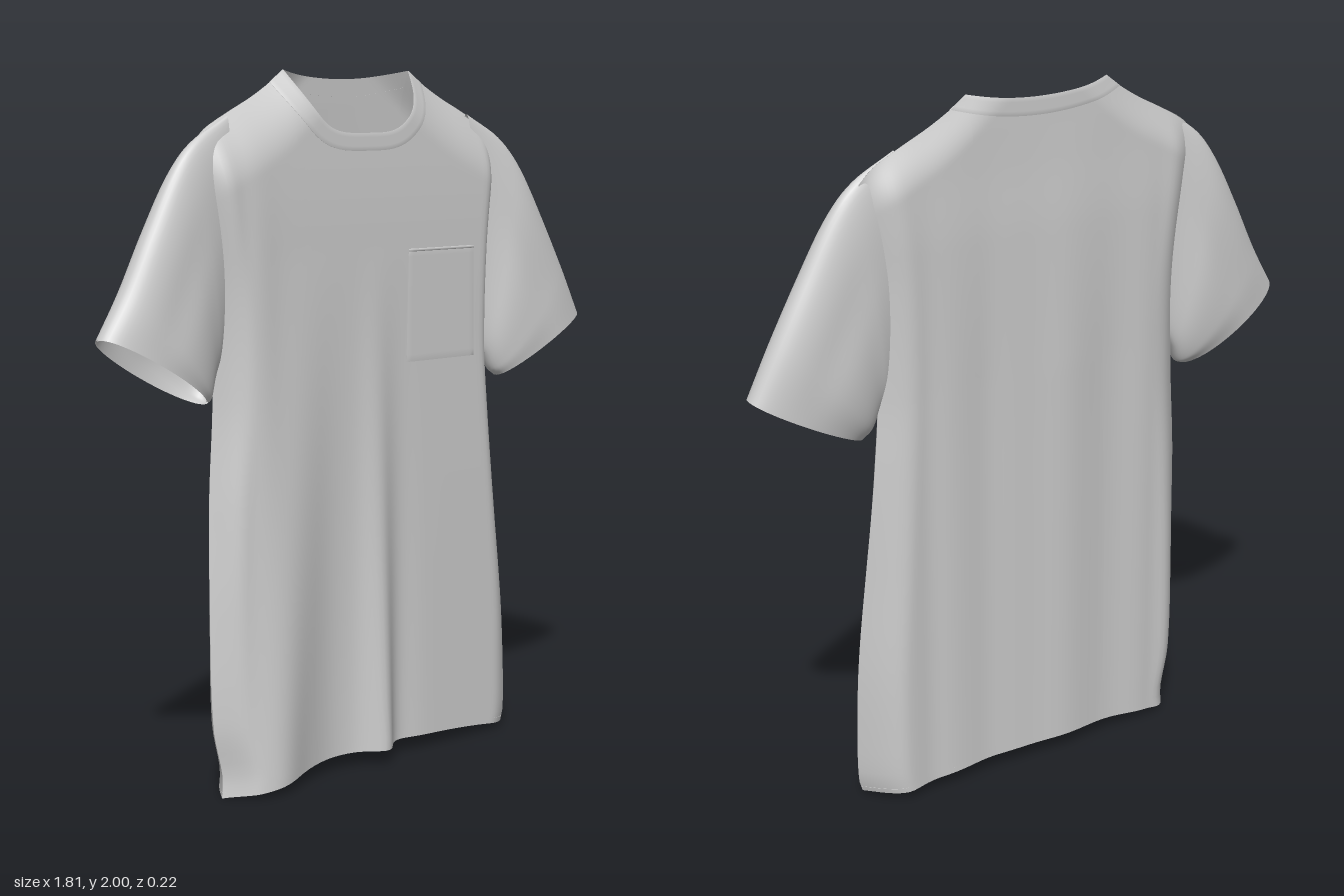
import * as THREE from 'three';
import { mergeGeometries, mergeVertices } from 'three/addons/utils/BufferGeometryUtils.js';

const cloth = new THREE.MeshStandardMaterial({ color: 0xcccccc, side: THREE.DoubleSide, roughness: 0.9 });
const lerp = THREE.MathUtils.lerp;

// Smooth curve through [t, value] pairs
function curve(p) {
  const slope = i => {
    const a = p[Math.max(i - 1, 0)], b = p[Math.min(i + 1, p.length - 1)];
    return (b[1] - a[1]) / (b[0] - a[0]);
  };
  return t => {
    t = Math.min(Math.max(t, p[0][0]), p[p.length - 1][0]);
    let i = 0;
    while (i < p.length - 2 && t > p[i + 1][0]) i++;
    const h = p[i + 1][0] - p[i][0], s = (t - p[i][0]) / h, s2 = s * s, s3 = s2 * s;
    return (2 * s3 - 3 * s2 + 1) * p[i][1] + (s3 - 2 * s2 + s) * h * slope(i)
      + (3 * s2 - 2 * s3) * p[i + 1][1] + (s3 - s2) * h * slope(i + 1);
  };
}

// Grid surface from fn(i, j) -> [x, y, z]
function grid(nu, nv, fn, flip = false) {
  const pos = [], idx = [];
  for (let j = 0; j <= nv; j++) for (let i = 0; i <= nu; i++) pos.push(...fn(i, j));
  for (let j = 0; j < nv; j++) for (let i = 0; i < nu; i++) {
    const a = j * (nu + 1) + i, b = a + 1, c = a + nu + 1, d = c + 1;
    idx.push(...(flip ? [a, d, b, a, c, d] : [a, b, d, a, d, c]));
  }
  const g = new THREE.BufferGeometry();
  g.setAttribute('position', new THREE.Float32BufferAttribute(pos, 3));
  g.setIndex(idx);
  return g;
}

function mesh(name, geometry) {
  const g = mergeVertices(geometry, 1e-5);
  g.computeVertexNormals();
  const m = new THREE.Mesh(g, cloth);
  m.name = name;
  return m;
}

// Torso outline
const NECK = 0.24, SHOULDER = 0.575;
const edgeRight = curve([[0, -0.54], [0.06, -0.535], [0.2, -0.56], [0.5, -0.557], [0.8, -0.54], [1.1, -0.515], [1.4, -0.52], [1.8, -0.575], [2, -0.575]]);
const edgeLeft = curve([[0, 0.57], [0.04, 0.585], [0.15, 0.592], [0.4, 0.59], [0.7, 0.568], [1, 0.543], [1.2, 0.53], [1.5, 0.54], [1.8, 0.575], [2, 0.575]]);
const shoulder = curve([[0.24, 2], [0.29, 1.965], [0.36, 1.925], [0.45, 1.882], [0.53, 1.84], [0.575, 1.8]]);
const neckFront = s => 1.825 + 0.175 * Math.abs(s) ** 4;
const neckBack = s => 1.975 + 0.025 * s * s;

// Depth of the cloth, with the vertical folds
const frontDepth = curve([[0, 0.045], [0.6, 0.042], [1.2, 0.037], [1.6, 0.032], [1.83, 0.022], [2, 0.012]]);
const backDepth = curve([[0, -0.1], [1, -0.102], [1.6, -0.102], [1.8, -0.094], [2, -0.088]]);
const midDepth = curve([[0, 0.015], [0.5, -0.01], [1, -0.04], [1.7, -0.04], [2, -0.06]]);
const bump = (x, c, w) => Math.exp(-(((x - c) / w) ** 2));
const rounded = (d, r) => Math.sin(Math.min(Math.max(d / r, 0), 1) * Math.PI / 2);

function depth(front, x, y) {
  const a = Math.abs(x);
  const top = a < NECK ? 2 + 0.8 * (NECK - a) : shoulder(a);
  const f = rounded(Math.min(x - edgeRight(y), edgeLeft(y) - x), front ? 0.08 : 0.11)
    * rounded(top - y, front ? 0.19 : 0.12);
  const fade = Math.max(0, 1 - y / 1.5) ** 1.2;
  let z;
  if (front) {
    z = frontDepth(y)
      + fade * (0.065 * bump(x, -0.4 + 0.1 * y, 0.12) + 0.055 * bump(x, 0.02, 0.055)
        - 0.012 * bump(x, -0.14, 0.08) - 0.014 * bump(x, 0.12, 0.06))
      + 0.006 * bump(y, 1.2, 0.5) * (bump(x, -0.4, 0.05) - bump(x, -0.46, 0.03));
  } else {
    const hang = Math.min(1, Math.max(0, (1.9 - y) / 0.7));
    z = backDepth(y) + hang * (0.008 * bump(x, 0.2, 0.07) + 0.008 * bump(x, -0.25, 0.08)
      + 0.008 * bump(x, 0.4, 0.05) - 0.011 * bump(x, -0.07, 0.09) + 0.006 * bump(x, -0.42, 0.04));
  }
  return lerp(midDepth(y), z, f);
}

// Front and back panels, welded at the sides and shoulders, closed inside the hem
function torso() {
  const cols = [], N = 24;
  for (let i = 0; i <= N; i++) cols.push(NECK * Math.sin(i / N * Math.PI / 2));
  for (let i = 1; i <= N; i++) cols.push(lerp(NECK, SHOULDER, Math.sin(i / N * Math.PI / 2)));
  const xs = [...cols.slice(1).reverse().map(x => -x), ...cols];
  const rows = 90, last = xs.length - 1;
  const hem = u => 0.043 - (u < 0 ? 0.043 : 0.033) * Math.abs(u) ** 2.5;
  const across = (u, y) => lerp(edgeRight(y), edgeLeft(y), (u + 1) / 2);
  const panel = front => grid(last, rows, (i, j) => {
    const u = xs[i] / SHOULDER, a = Math.abs(xs[i]);
    const top = a < NECK - 1e-6 ? (front ? neckFront : neckBack)(a / NECK) : shoulder(a);
    const y = lerp(hem(u), top, Math.sin(j / rows * Math.PI / 2));
    const x = across(u, y);
    return [x, y, depth(front, x, y)];
  }, !front);
  const g = new THREE.Group();
  g.name = 'torso';
  g.add(mesh('torsoCloth', mergeGeometries([panel(true), panel(false)])));
  g.add(mesh('hemLining', grid(last, 6, (i, j) => {
    const u = xs[i] / SHOULDER, y = hem(u) + 0.015, x = across(u, y);
    return [x, y, lerp(depth(false, x, y), depth(true, x, y), j / 6)];
  })));
  return g;
}

// Thin raised piece lying on a panel; at(s, t) -> [x, y]
function applique(name, front, nu, nv, thick, at) {
  return mesh(name, grid(nu, nv, (i, j) => {
    const s = Math.min(Math.max((i - 1) / (nu - 2), 0), 1), t = Math.min(Math.max((j - 1) / (nv - 2), 0), 1);
    const rim = i === 0 || i === nu || j === 0 || j === nv;
    const [x, y] = at(s, t);
    return [x, y, depth(front, x, y) + (front ? 1 : -1) * (rim ? -0.001 : thick)];
  }, !front));
}

// Flattened tube from the armhole to the open cuff
function sleeve(name, side, tipY, cuffY, zMid) {
  const topX = curve([[0, 0.46], [0.12, 0.575], [0.25, 0.645], [0.5, 0.74], [0.75, 0.825], [1, 0.905]]);
  const topY = curve([[0, 1.875], [0.12, 1.81], [0.25, 1.735], [0.5, 1.575], [0.75, 1.42], [1, tipY]]);
  const lowX = curve([[0, 0.49], [0.3, 0.515], [0.7, 0.537], [1, side > 0 ? 0.56 : 0.555]]);
  const lowY = curve([[0, 1.22], [0.3, 1.16], [0.7, 1.11], [1, cuffY]]);
  const half = curve([[0, 0.028], [0.15, 0.052], [0.4, 0.07], [0.75, 0.077], [1, 0.07]]);
  const zc = curve([[0, -0.038], [0.3, zMid - 0.008], [0.7, zMid], [1, zMid + 0.008]]);
  const n = 56, rings = 40;
  const wall = (inset, from) => (i, j) => {
    const v = lerp(from, 1, j / rings), a = (i % n) / n * Math.PI * 2;
    const c = (1 + Math.cos(a) * (1 - inset * 4)) / 2;
    const crease = 1 - 0.1 * bump(c, 0.62, 0.15) * Math.sin(v * Math.PI);
    const z = zc(v) + Math.sign(Math.sin(a)) * Math.abs(Math.sin(a)) ** 0.9 * (half(v) - inset) * crease;
    // The cuff hangs a little lower at the back
    const sag = 0.012 * Math.sin(a) * v ** 4;
    return [side * (lerp(lowX(v), topX(v), c) - sag * 0.5), lerp(lowY(v), topY(v), c) + sag, z];
  };
  const g = new THREE.Group();
  g.name = name;
  g.add(mesh('sleeveCloth', grid(n, rings, wall(0, 0), side > 0)));
  // Turned-in cuff hem
  g.add(mesh('cuffHem', grid(n, rings, wall(0.005, 0.9), side < 0)));
  return g;
}

export function createModel() {
  const shirt = new THREE.Group();
  shirt.name = 'shirt';
  shirt.add(torso());
  shirt.add(sleeve('leftSleeve', 1, 1.26, 1.09, -0.008));
  shirt.add(sleeve('rightSleeve', -1, 1.3, 1.1, -0.035));

  // Ribbed collar bands
  const band = (inner, low, high, pow) => (s, t) => {
    const k = Math.sin((s - 0.5) * Math.PI), a = Math.abs(k);
    return [lerp(0.29, NECK, t) * k, lerp(low + (high - low) * a ** pow, inner(k), t)];
  };
  shirt.add(applique('frontCollar', true, 50, 6, 0.002, band(neckFront, 1.775, 1.965, 3.5)));
  shirt.add(applique('backCollar', false, 50, 6, 0.002, band(neckBack, 1.925, 1.965, 2)));

  // Chest pocket with a thicker top edge
  shirt.add(applique('pocket', true, 16, 18, 0.0015, (s, t) => [lerp(0.145, 0.42, s) + 0.01 * t * (1 - s), lerp(1.165, 1.49, t)]));
  shirt.add(applique('pocketEdge', true, 16, 4, 0.003, (s, t) => [lerp(0.155, 0.42, s), lerp(1.484, 1.492, t)]));
  return shirt;
}
